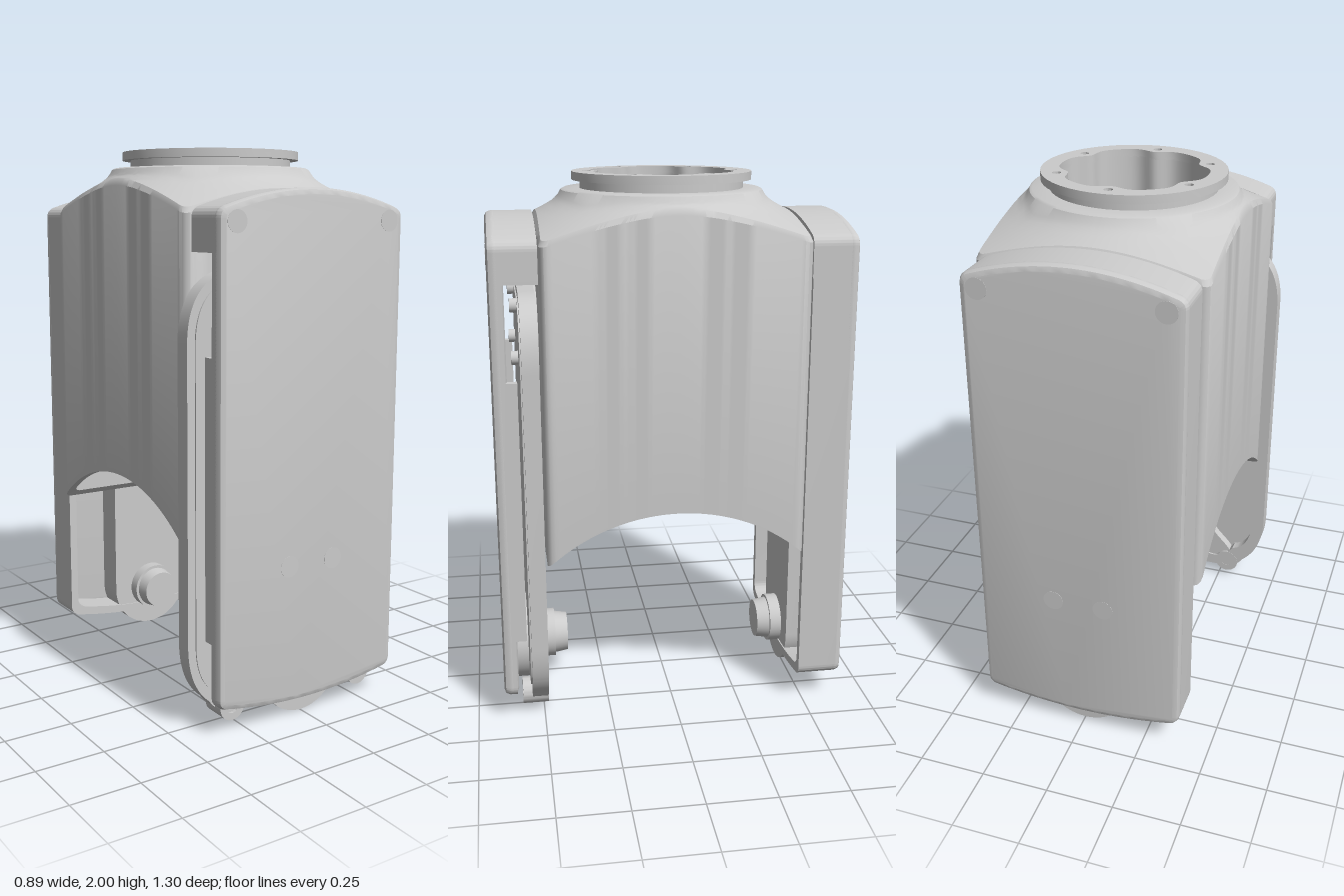
import * as THREE from 'three';
import { toCreasedNormals } from 'three/addons/utils/BufferGeometryUtils.js';

const mat = new THREE.MeshStandardMaterial({ color: 0xcccccc, side: THREE.DoubleSide });
const PIVOT_Y = 0.17;

function add(parent, name, geo) {
  const m = new THREE.Mesh(geo, mat);
  m.name = name;
  parent.add(m);
  return m;
}

// Extrude a shape drawn in x/y between two z values
function slab(shape, z0, z1, bevel = 0) {
  const g = new THREE.ExtrudeGeometry(shape, {
    depth: z1 - z0 - 2 * bevel, curveSegments: 24, bevelEnabled: bevel > 0,
    bevelThickness: bevel, bevelSize: bevel, bevelOffset: -bevel, bevelSegments: 2,
  });
  return toCreasedNormals(g.translate(0, 0, z0 + bevel), 0.5);
}

// Round part along z
function disc(r, z0, z1, x, y, r2 = r) {
  return new THREE.CylinderGeometry(r2, r, z1 - z0, 40).rotateX(Math.PI / 2).translate(x, y, (z0 + z1) / 2);
}

function box(x0, x1, y0, y1, z0, z1) {
  return new THREE.BoxGeometry(x1 - x0, y1 - y0, z1 - z0).translate((x0 + x1) / 2, (y0 + y1) / 2, (z0 + z1) / 2);
}

function circle(r, x = 0, y = 0) {
  return new THREE.Shape().absarc(x, y, r, 0, Math.PI * 2);
}

function roundedRect(w, h, r) {
  const s = new THREE.Shape();
  s.absarc(w - r, h - r, r, 0, Math.PI / 2);
  s.absarc(r - w, h - r, r, Math.PI / 2, Math.PI);
  s.absarc(r - w, r - h, r, Math.PI, Math.PI * 1.5);
  s.absarc(w - r, r - h, r, Math.PI * 1.5, Math.PI * 2);
  s.closePath();
  return s;
}

// Hollow body: one sheet of loops from the inner ceiling, round the arched lip, up and over the domed top
function bodyGeometry() {
  const rim = roundedRect(0.41, 0.475, 0.03).getSpacedPoints(240).slice(0, -1);
  const n = rim.length;
  const hill = [[0.37, 1.935], [0.385, 1.91], [0.41, 1.89], [0.45, 1.868], [0.53, 1.83], [0.65, 1.775]];
  const hillY = (r) => {
    let k = 1;
    while (k < hill.length - 1 && r > hill[k][0]) k++;
    const [a, b] = [hill[k - 1], hill[k]];
    return a[1] + (b[1] - a[1]) * (r - a[0]) / (b[0] - a[0]);
  };
  const arch = (z) => 0.11 + Math.sqrt(0.49 - z * z);
  const inner = (p, y) => [p.x * 0.93, y, p.y * 0.94];
  const loops = [
    (p) => [0, 1.13, 0],
    (p) => inner(p, 1.13),
    (p) => inner(p, arch(p.y * 0.94)),
    (p) => [p.x, arch(p.y), p.y],
    (p) => [p.x, hillY(p.length()) - 0.015, p.y],
  ];
  for (let k = 0; k <= 8; k++) {
    loops.push((p) => {
      const R = p.length(), r = 0.37 + (R - 0.012 - 0.37) * (1 - k / 8);
      return [p.x * r / R, hillY(r), p.y * r / R];
    });
  }
  for (const [r, y] of [[0.36, 1.94], [0.28, 1.94]]) {
    loops.push((p) => [p.x * r / p.length(), y, p.y * r / p.length()]);
  }
  const pos = [], idx = [];
  loops.forEach((f) => rim.forEach((p) => pos.push(...f(p))));
  for (let j = 0; j < loops.length - 1; j++) {
    for (let i = 0; i < n; i++) {
      const a = j * n + i, b = j * n + (i + 1) % n;
      idx.push(a, a + n, b, b, a + n, b + n);
    }
  }
  const g = new THREE.BufferGeometry();
  g.setAttribute('position', new THREE.Float32BufferAttribute(pos, 3));
  g.setIndex(idx);
  return toCreasedNormals(g, 0.5);
}

// Lobed opening, pinched in at the six screw bosses
function lobedPath() {
  const pts = [];
  for (let i = 0; i < 120; i++) {
    const a = i / 120 * Math.PI * 2;
    const pinch = Math.pow((1 - Math.cos(6 * a)) / 2, 3);
    const r = 0.268 - 0.033 * pinch;
    pts.push(new THREE.Vector2(Math.cos(a) * r, Math.sin(a) * r));
  }
  return new THREE.Path(pts);
}

function collar() {
  const g = new THREE.Group();
  g.name = 'collar';
  const flat = (shape, y0, y1, bevel) => slab(shape, y0, y1, bevel).rotateX(-Math.PI / 2);
  const well = circle(0.3);
  well.holes.push(lobedPath());
  add(g, 'neckAndWell', flat(well, 1.6, 1.975));
  const flange = circle(0.33);
  flange.holes.push(lobedPath());
  for (let i = 0; i < 6; i++) {
    const a = Math.PI / 6 + i * Math.PI / 3;
    flange.holes.push(circle(0.016, Math.cos(a) * 0.275, Math.sin(a) * 0.275));
  }
  add(g, 'flange', flat(flange, 1.97, 2));
  add(g, 'wellFloor', flat(circle(0.29), 1.58, 1.61));
  add(g, 'wellBlock', slab(roundedRect(0.26, 0.1, 0.05), 1.6, 1.75).rotateX(-Math.PI / 2).translate(0, 0, -0.05));
  add(g, 'wellStep', box(-0.12, 0.12, 1.6, 1.69, 0.05, 0.16));
  return g;
}

// Cover outline with bowed top and bottom
function coverShape(i = 0) {
  const s = new THREE.Shape(), w = 0.385 - i;
  s.moveTo(-w, 0.14 + i);
  s.quadraticCurveTo(-w, 0.11 + i, -w + 0.03, 0.1 + i);
  s.quadraticCurveTo(0, 0.03 + i, w - 0.03, 0.1 + i);
  s.quadraticCurveTo(w, 0.11 + i, w, 0.14 + i);
  s.lineTo(w, 1.76 - i);
  s.quadraticCurveTo(w, 1.79 - i, w - 0.03, 1.8 - i);
  s.quadraticCurveTo(0, 1.92 - i, 0.03 - w, 1.8 - i);
  s.quadraticCurveTo(-w, 1.79 - i, -w, 1.76 - i);
  s.closePath();
  return s;
}

// Upper end of the cover, which reaches in to the body
function coverCap(y) {
  const s = new THREE.Shape();
  s.moveTo(-0.385, y);
  s.lineTo(0.385, y);
  s.lineTo(0.385, 1.76);
  s.quadraticCurveTo(0.385, 1.79, 0.355, 1.8);
  s.quadraticCurveTo(0, 1.92, -0.355, 1.8);
  s.quadraticCurveTo(-0.385, 1.79, -0.385, 1.76);
  s.closePath();
  return s;
}

function cover(name, deep) {
  const g = new THREE.Group();
  g.name = name;
  add(g, 'coverFace', slab(coverShape(), 0.595, 0.65, 0.022));
  const rim = coverShape();
  rim.holes.push(coverShape(0.03));
  add(g, 'coverRim', slab(rim, deep ? 0.48 : 0.6, 0.628));
  add(g, 'coverCap', slab(coverCap(1.65), 0.478, 0.628));
  if (!deep) {
    for (const s of [-1, 1]) {
      add(g, 'sideWall', box(s * 0.37 - 0.015, s * 0.37 + 0.015, 0.33, 1.31, 0.56, 0.62));
    }
  }
  for (const s of [-1, 1]) {
    add(g, 'upperPlug', disc(0.038, 0.63, 0.651, s * 0.32, 1.75));
    add(g, 'lowerPlug', disc(0.038, 0.63, 0.651, s * 0.095, 0.57));
  }
  return g;
}

// Outline of the wide front tray
function trayShape(i = 0) {
  const s = new THREE.Shape(), w = 0.445 - i, b = 0.05 + i;
  s.moveTo(-w, 0.32);
  s.quadraticCurveTo(-w, 0.17, -0.36 + i, 0.1 + i);
  s.quadraticCurveTo(-0.31 + i, b - 0.02, -0.25 + i, b);
  s.lineTo(0.25 - i, b);
  s.quadraticCurveTo(0.31 - i, b - 0.02, 0.36 - i, 0.1 + i);
  s.quadraticCurveTo(w, 0.17, w, 0.32);
  s.lineTo(w, 1.35);
  s.quadraticCurveTo(w, 1.6 - i, 0.2, 1.6 - i);
  s.lineTo(-0.2, 1.6 - i);
  s.quadraticCurveTo(-w, 1.6 - i, -w, 1.35);
  s.closePath();
  return s;
}

// Waisted web flaring to the ears at the bottom
function webShape() {
  const right = [[0.25, 0.05], [0.3, 0.12], [0.22, 0.22], [0.14, 0.34], [0.15, 0.48], [0.24, 0.62], [0.25, 0.9], [0.25, 1.5]];
  const s = new THREE.Shape();
  s.moveTo(-0.25, 0.05);
  s.lineTo(0.25, 0.05);
  s.splineThru(right.slice(1).map(([x, y]) => new THREE.Vector2(x, y)));
  s.lineTo(-0.25, 1.5);
  s.splineThru(right.slice(0, -1).reverse().map(([x, y]) => new THREE.Vector2(-x, y)));
  return s;
}

// Stepped pivot pin pointing inwards
function pivot(g) {
  add(g, 'pivotCollar', disc(0.095, 0.44, 0.5, 0, PIVOT_Y));
  add(g, 'pivotPin', disc(0.075, 0.39, 0.45, 0, PIVOT_Y, 0.085));
}

function frontArm() {
  const g = new THREE.Group();
  g.name = 'frontArm';
  const ring = trayShape();
  ring.holes.push(trayShape(0.05));
  add(g, 'trayRim', slab(ring, 0.485, 0.545));
  add(g, 'trayFloor', slab(trayShape(0.03), 0.53, 0.55));
  add(g, 'web', slab(webShape(), 0.492, 0.54));
  add(g, 'lowerHub', disc(0.168, 0.487, 0.6, 0, PIVOT_Y));
  add(g, 'upperHub', disc(0.2, 0.465, 0.53, 0, 1.4));
  for (const s of [-1, 1]) {
    const ear = circle(0.05, s * 0.285, 0.075);
    ear.holes.push(circle(0.024, s * 0.285, 0.075));
    add(g, 'ear', slab(ear, 0.484, 0.58));
    add(g, 'earScrew', disc(0.03, 0.495, 0.57, s * 0.285, 0.075));
    for (const y of [1.36, 1.55]) add(g, 'bolt', disc(0.025, 0.54, 0.575, s * 0.2, y));
  }
  pivot(g);
  return g;
}

function backArm() {
  const g = new THREE.Group();
  g.name = 'backArm';
  const s = new THREE.Shape();
  s.absarc(0, PIVOT_Y, 0.17, Math.PI, Math.PI * 2);
  s.lineTo(0.17, 1.7);
  s.lineTo(-0.17, 1.7);
  s.closePath();
  add(g, 'armBar', slab(s, 0.485, 0.6));
  add(g, 'armMount', box(-0.3, 0.3, 0.75, 1.65, 0.465, 0.5));
  pivot(g);
  return g;
}

export function createModel() {
  const model = new THREE.Group();
  model.name = 'jointHousing';
  add(model, 'body', bodyGeometry());
  model.add(collar(), cover('frontCover', false), frontArm());
  const back = new THREE.Group();
  back.name = 'backSide';
  back.add(cover('backCover', true), backArm());
  back.rotation.y = Math.PI;
  model.add(back);
  return model;
}
